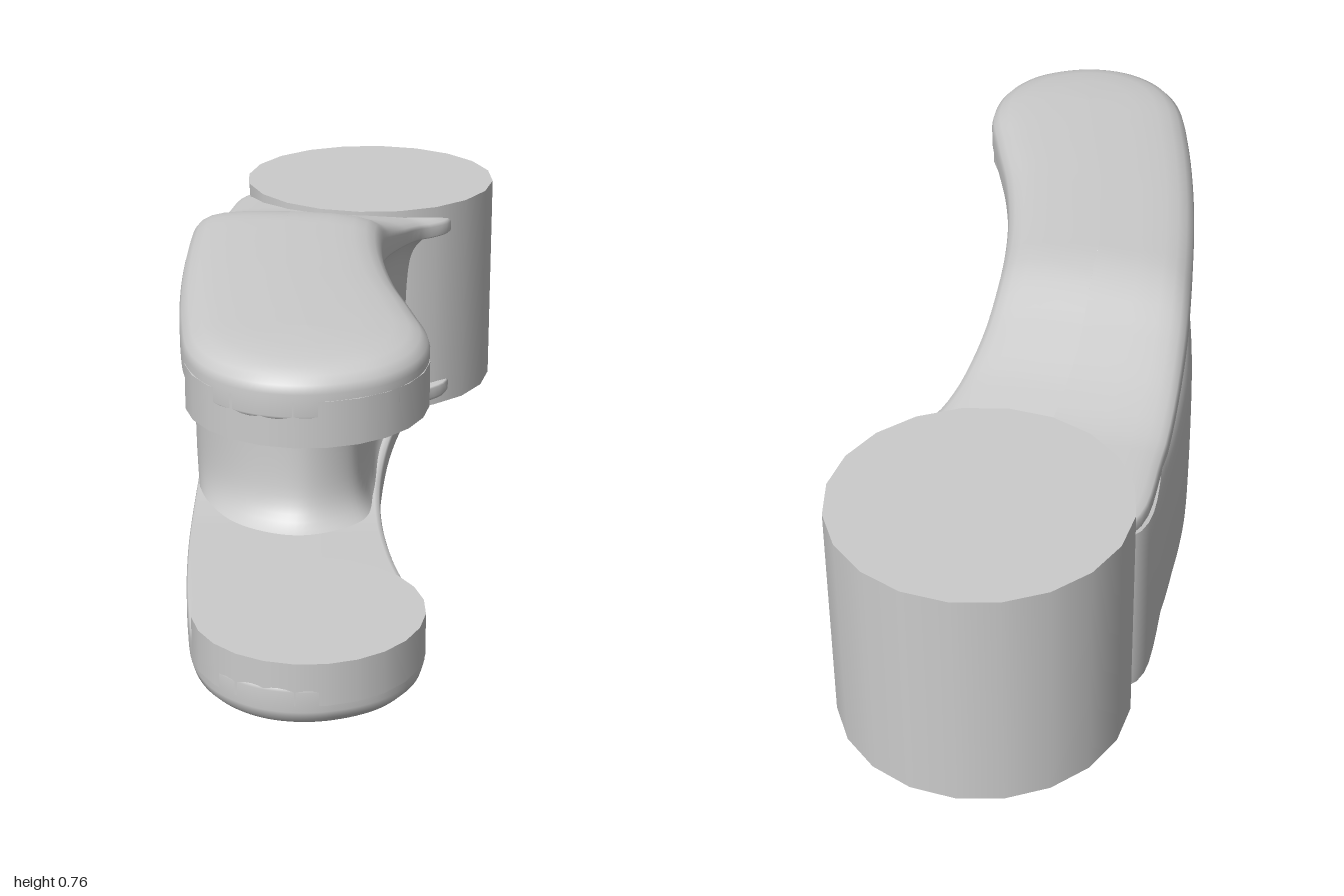
import * as THREE from 'three';

const MID = 0.38; // height of the mirror plane
const material = new THREE.MeshStandardMaterial({ color: 0xcccccc });

// Piecewise linear lookup in a list of [z, value], z ascending
function lookup(table, z) {
  if (z <= table[0][0]) return table[0][1];
  for (let i = 1; i < table.length; i++) {
    const [z0, v0] = table[i - 1], [z1, v1] = table[i];
    if (z <= z1) return v0 + (v1 - v0) * (z - z0) / (z1 - z0);
  }
  return table[table.length - 1][1];
}

const topY = z => lookup([[-0.7, 0.615], [-0.4, 0.63], [-0.28, 0.657], [-0.12, 0.71], [-0.05, 0.738], [0, 0.753], [0.06, 0.76]], z);
const innerY = z => lookup([[-0.7, 0.565], [-0.4, 0.573], [-0.2, 0.6], [0, 0.632], [0.12, 0.645], [0.25, 0.652]], z);
const spineX = z => lookup([[-0.6, -0.05], [-0.2, -0.1], [0.1, -0.1], [0.4, -0.06], [0.77, 0.025]], z);

// Smooth closed plan outline from [x, z] points
function outline(points, count) {
  const curve = new THREE.CatmullRomCurve3(points.map(([x, z]) => new THREE.Vector3(x, 0, z)), true);
  return Array.from({ length: count }, (_, i) => curve.getPoint(i / count));
}

// Skin over closed rings of equal length, listed from bottom to top
function loft(rings) {
  const n = rings[0].length, index = [];
  for (let j = 0; j < rings.length - 1; j++) {
    for (let i = 0; i < n; i++) {
      const a = j * n + i, b = j * n + (i + 1) % n;
      index.push(a, a + n, b, b, a + n, b + n);
    }
  }
  const geometry = new THREE.BufferGeometry().setFromPoints(rings.flat());
  geometry.setIndex(index);
  geometry.computeVertexNormals();
  return geometry;
}

function addMesh(parent, name, geometry) {
  const mesh = new THREE.Mesh(geometry, material);
  mesh.name = name;
  parent.add(mesh);
  return mesh;
}

// Curved prong: the plan outline stacked in layers that round over to a crown
function prongGeometry() {
  const plan = outline([
    [0.2, -0.62], [0.235, -0.46], [0.17, -0.37], [0.125, -0.2], [0.11, 0], [0.125, 0.2],
    [0.165, 0.4], [0.22, 0.58], [0.257, 0.72], [0.245, 0.84], [0.19, 0.93], [0.1, 0.985],
    [0.02, 1], [-0.06, 0.985], [-0.14, 0.93], [-0.195, 0.84], [-0.235, 0.68], [-0.28, 0.4],
    [-0.31, 0.1], [-0.323, -0.15], [-0.315, -0.45], [-0.28, -0.66], [-0.1, -0.75],
  ], 138);
  // [shrink towards the spine, fraction of the thickness]
  const layers = [[1, 0], [0.06, 0], [0.015, 0.03], [0, 0.1], [0, 0.5], [0.02, 0.65], [0.08, 0.78], [0.17, 0.87], [0.3, 0.93], [0.55, 0.98], [1, 1]];
  return loft(layers.map(([shrink, level]) => plan.map(p => {
    const sz = THREE.MathUtils.clamp(p.z, -0.6, 0.77);
    const x = THREE.MathUtils.lerp(p.x, spineX(sz), shrink);
    const z = THREE.MathUtils.lerp(p.z, sz, shrink);
    return new THREE.Vector3(x, THREE.MathUtils.lerp(innerY(z), topY(z), level), z);
  })));
}

// Web: narrow plan at mid height, flaring in fillets into both prongs
function webGeometry() {
  const middle = outline([
    [0.1, -0.6], [0.14, -0.45], [0.1, -0.3], [0.078, -0.1], [0.078, 0.06], [0.055, 0.19],
    [-0.04, 0.258], [-0.17, 0.225], [-0.29, 0.1], [-0.333, -0.05], [-0.33, -0.4], [-0.28, -0.68],
  ], 96);
  const end = outline([
    [0.18, -0.6], [0.225, -0.46], [0.155, -0.35], [0.108, -0.12], [0.108, 0.1], [0.1, 0.25],
    [-0.04, 0.35], [-0.18, 0.31], [-0.285, 0.16], [-0.318, -0.05], [-0.315, -0.4], [-0.28, -0.68],
  ], 96);
  const rings = [], steps = 32;
  for (let j = 0; j <= steps; j++) {
    const v = Math.sin((j / steps - 0.5) * Math.PI);
    const flare = 0.2 * v * v + 0.8 * Math.abs(v) ** 9;
    rings.push(middle.map((p, i) => {
      const q = p.clone().lerp(end[i], flare);
      q.y = MID + v * (innerY(q.z) + 0.015 - MID);
      return q;
    }));
  }
  return loft(rings);
}

export function createModel() {
  const model = new THREE.Group();
  model.name = 'forkLink';

  // Hinge barrel at the back
  addMesh(model, 'hingeBarrel', new THREE.CylinderGeometry(0.31, 0.31, 0.515, 20))
    .position.set(0.02, 0.385, -0.69);

  addMesh(model, 'web', webGeometry());

  // Upper and lower prongs, each with a round pad facing inwards
  const prong = prongGeometry();
  const pad = new THREE.CylinderGeometry(0.235, 0.235, 0.09, 24);
  for (const side of ['upper', 'lower']) {
    const arm = new THREE.Group();
    arm.name = side + 'Arm';
    addMesh(arm, side + 'Prong', prong);
    addMesh(arm, side + 'Pad', pad).position.set(0.025, 0.647, 0.765);
    if (side === 'lower') {
      arm.scale.y = -1;
      arm.position.y = 2 * MID;
    }
    model.add(arm);
  }
  return model;
}
